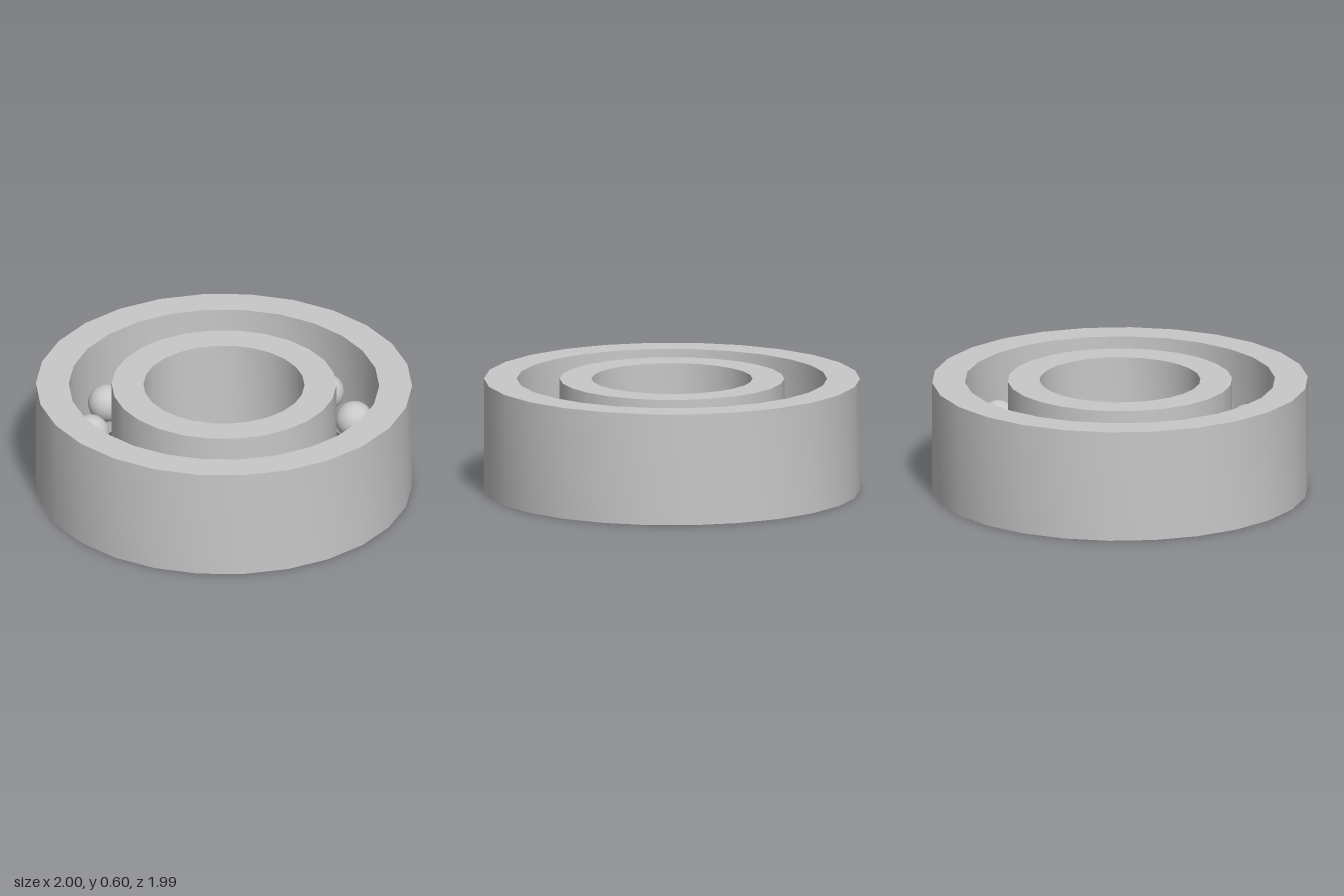
import * as THREE from 'three';
import { toCreasedNormals } from 'three/addons/utils/BufferGeometryUtils.js';

const HEIGHT = 0.6;
const SIDES = 26;
const BALLS = 13;
const BALL_RADIUS = 0.1;
const BALL_ORBIT = 0.71;

// Plain ring with a rectangular section, a corner pointing to +x
function ringGeometry(inner, outer) {
  const profile = [
    [outer, 0], [outer, HEIGHT], [inner, HEIGHT], [inner, 0], [outer, 0],
  ].map(([r, y]) => new THREE.Vector2(r, y));
  const lathe = new THREE.LatheGeometry(profile, SIDES, Math.PI / 2);
  return toCreasedNormals(lathe, Math.PI / 6);
}

export function createModel() {
  const steel = new THREE.MeshStandardMaterial({ color: 0xc8c8c8 });
  steel.name = 'steel';

  const model = new THREE.Group();
  model.name = 'ballBearing';

  // Outer and inner races
  const outerRace = new THREE.Mesh(ringGeometry(0.825, 1), steel);
  outerRace.name = 'outerRace';
  const innerRace = new THREE.Mesh(ringGeometry(0.428, 0.597), steel);
  innerRace.name = 'innerRace';
  model.add(outerRace, innerRace);

  // Balls evenly spaced between the races
  const balls = new THREE.Group();
  balls.name = 'balls';
  const ballGeometry = new THREE.SphereGeometry(BALL_RADIUS, 32, 20);
  for (let i = 0; i < BALLS; i++) {
    const angle = (i / BALLS) * Math.PI * 2;
    const ball = new THREE.Mesh(ballGeometry, steel);
    ball.name = `ball${i + 1}`;
    ball.position.set(Math.cos(angle) * BALL_ORBIT, HEIGHT / 2, Math.sin(angle) * BALL_ORBIT);
    balls.add(ball);
  }
  model.add(balls);

  return model;
}
